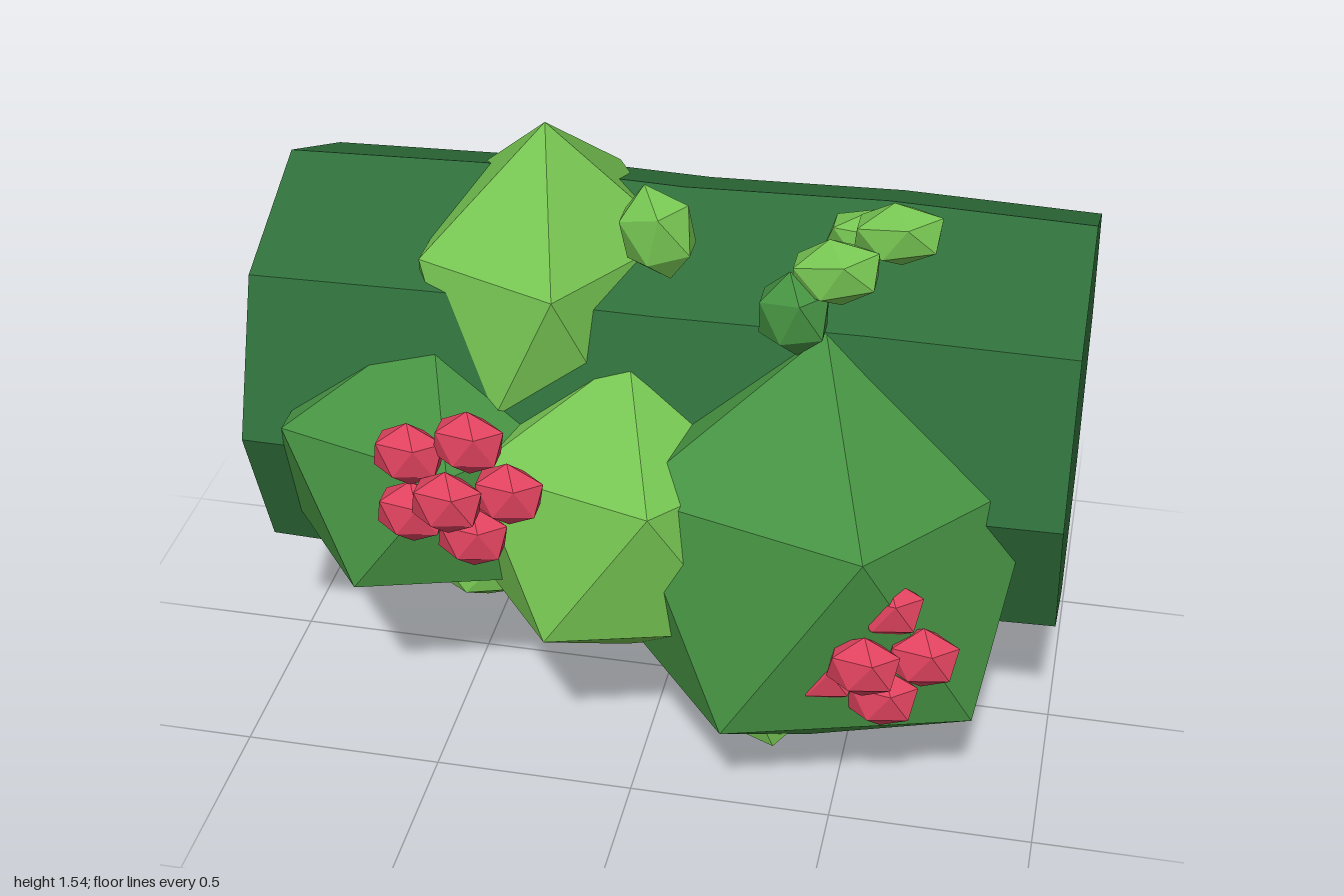
import * as THREE from 'three';
import { ConvexGeometry } from 'three/addons/geometries/ConvexGeometry.js';

const flat = (name, color) => {
  const m = new THREE.MeshStandardMaterial({ color, flatShading: true });
  m.name = name;
  return m;
};

// Unit icosahedron standing on a vertex: two poles and two rings of five
function icosahedron() {
  const pts = [new THREE.Vector3(0, 1, 0), new THREE.Vector3(0, -1, 0)];
  const h = 1 / Math.sqrt(5), r = 2 * h;
  for (let i = 0; i < 5; i++) {
    const a = (i * Math.PI * 2) / 5;
    pts.push(new THREE.Vector3(r * Math.cos(a), h, r * Math.sin(a)));
    pts.push(new THREE.Vector3(-r * Math.cos(a), -h, r * Math.sin(a)));
  }
  return new ConvexGeometry(pts);
}

export function createModel() {
  const model = new THREE.Group();
  model.name = 'hedge';
  const dark = flat('dark green', 0x2f6f3a);
  const mid = flat('mid green', 0x469242);
  const light = flat('light green', 0x76c452);
  const red = flat('berry red', 0xe0435f);
  const ico = icosahedron();

  const blob = (parent, name, mat, pos, size, rot = [0, 0, 0]) => {
    const m = new THREE.Mesh(ico, mat);
    m.name = name;
    m.position.set(...pos);
    m.scale.set(...size);
    m.rotation.set(...rot);
    parent.add(m);
  };

  // Eight-sided log-shaped hedge body, swelling slightly at the quarter points
  const bodyGeo = new THREE.CylinderGeometry(1, 1, 2, 8, 4).rotateZ(-Math.PI / 2);
  const p = bodyGeo.attributes.position;
  for (let i = 0; i < p.count; i++) {
    const swell = Math.abs(Math.abs(p.getX(i)) - 0.5) < 0.1 ? 1 : 0;
    p.setY(i, p.getY(i) * (0.5375 + 0.015 * swell));
    p.setZ(i, p.getZ(i) * (0.5125 + 0.01 * swell));
  }
  bodyGeo.computeVertexNormals();
  const body = new THREE.Mesh(bodyGeo, dark);
  body.name = 'hedgeBody';
  body.position.set(0, 0.8125, -0.167);
  model.add(body);

  // Large foliage clumps
  const clumps = new THREE.Group();
  clumps.name = 'foliageClumps';
  blob(clumps, 'rightClump', mid, [-0.55, 0.72, 0.18], [0.45, 0.39, 0.41]);
  blob(clumps, 'middleClump', light, [-0.06, 0.675, 0.23], [0.45, 0.415, 0.43], [-0.06, 0, 0]);
  blob(clumps, 'leftClump', mid, [0.41, 0.6, 0.2], [0.58, 0.6, 0.52]);
  blob(clumps, 'topClump', light, [-0.32, 1.04, -0.07], [0.36, 0.5, 0.44]);
  model.add(clumps);

  // Small leaf tufts
  const tufts = new THREE.Group();
  tufts.name = 'leafTufts';
  [
    [light, [0, 1.395, 0.15], [0.1, 0.125, 0.07], 0.25],
    [light, [0.48, 1.335, -0.04], [0.125, 0.07, 0.068], 0],
    [light, [0.56, 1.45, 0.15], [0.12, 0.08, 0.068], 0.15],
    [light, [0.435, 1.4, 0.265], [0.12, 0.085, 0.07], 0.2],
    [mid, [0.345, 1.295, 0.29], [0.095, 0.11, 0.068], 0.1],
    [light, [-0.49, 0.285, 0.04], [0.135, 0.085, 0.075], 0.1],
    [light, [0.285, 0.155, 0.35], [0.105, 0.05, 0.06], -0.55],
  ].forEach(([mat, pos, size, tilt]) => blob(tufts, 'leafTuft', mat, pos, size, [0, 0, tilt]));
  model.add(tufts);

  // Berry clusters: one raised berry with five around it
  const berries = (name, x, y) => {
    const g = new THREE.Group();
    g.name = name;
    g.position.set(x, y, 0.56);
    const size = [0.095, 0.085, 0.056];
    blob(g, 'berry', red, [0, 0, 0.062], size);
    for (let i = 0; i < 5; i++) {
      const a = (i * Math.PI * 2) / 5;
      blob(g, 'berry', red, [0.13 * Math.cos(a), 0.137 * Math.sin(a), 0], size);
    }
    model.add(g);
  };
  berries('rightBerries', -0.4, 0.895);
  berries('leftBerries', 0.58, 0.57);

  return model;
}
